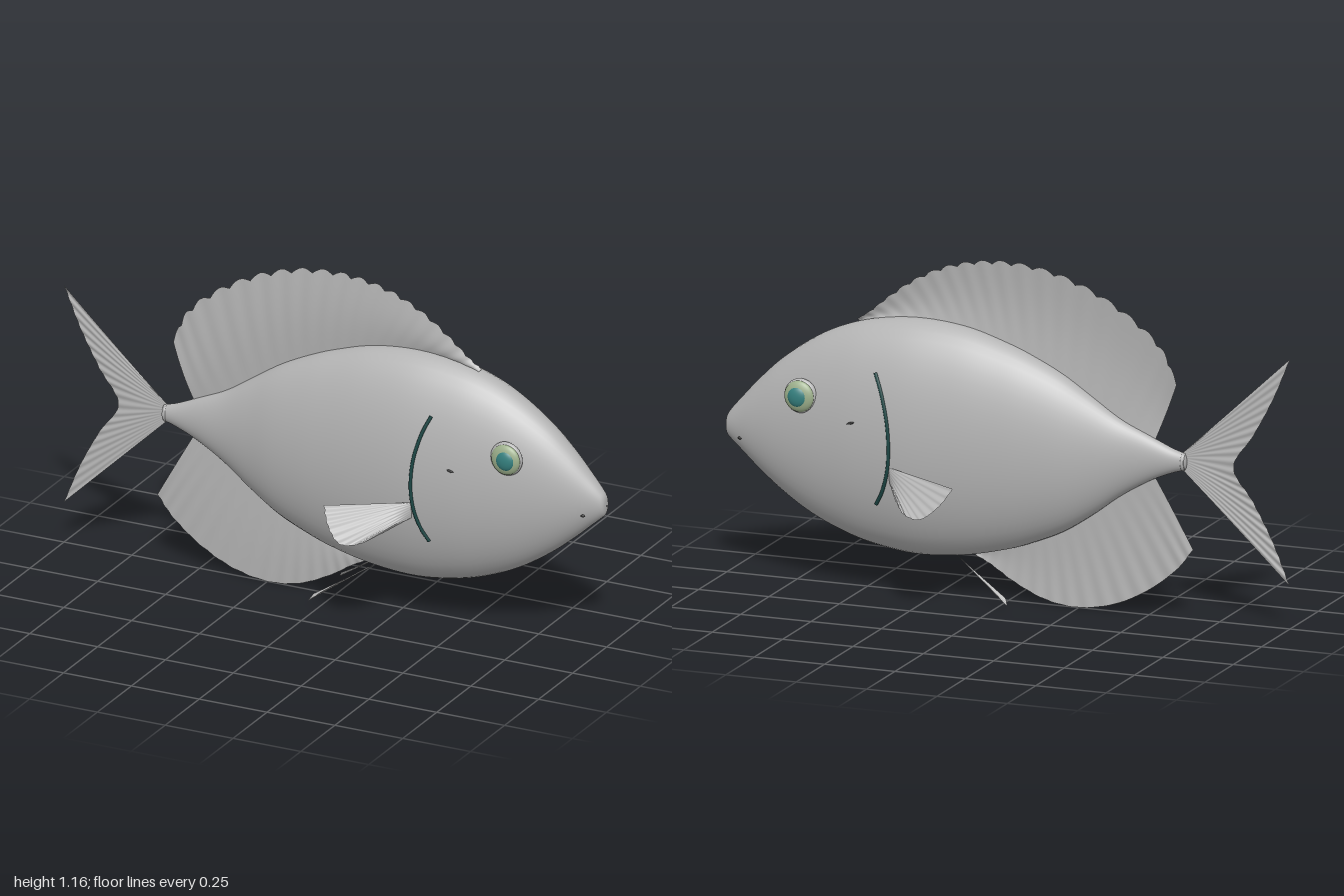
import * as THREE from 'three';

const V = (p) => new THREE.Vector3(p[0], p[1], p[2] ?? 0);
const mat = (name, color, side = THREE.FrontSide) => {
  const m = new THREE.MeshStandardMaterial({ color, side });
  m.name = name;
  return m;
};

// Body stations: x, top, bottom, half width
const STATIONS = [
  [-0.63, 0.56, 0.505, 0.02], [-0.58, 0.575, 0.49, 0.026], [-0.5, 0.61, 0.455, 0.036],
  [-0.4, 0.655, 0.395, 0.052], [-0.3, 0.72, 0.32, 0.077], [-0.2, 0.785, 0.255, 0.105],
  [-0.1, 0.835, 0.21, 0.125], [0, 0.875, 0.175, 0.14], [0.15, 0.918, 0.142, 0.157],
  [0.32, 0.932, 0.13, 0.167], [0.48, 0.913, 0.152, 0.158], [0.6, 0.875, 0.19, 0.141],
  [0.7, 0.822, 0.237, 0.122], [0.8, 0.75, 0.302, 0.098], [0.88, 0.674, 0.366, 0.073],
  [0.94, 0.608, 0.42, 0.05], [0.98, 0.562, 0.455, 0.032], [0.996, 0.537, 0.473, 0.02],
  [1, 0.505, 0.5, 0.001],
];
const spline = (pts) => new THREE.CatmullRomCurve3(pts.map(V), false, 'catmullrom', 0.5);
const heights = spline(STATIONS.map(([x, t, b]) => [x, t, b]));
const widths = spline(STATIONS.map(([x, , , w]) => [x, w]));
const ROWS = Array.from({ length: 109 }, (_, i) => {
  const a = heights.getPoint(i / 108), b = widths.getPoint(i / 108);
  return { x: Math.min(a.x, 1), top: a.y, bottom: a.z, half: b.y };
});

// Body measurements at any x
function section(x) {
  let i = 1;
  while (i < ROWS.length - 1 && ROWS[i].x < x) i++;
  const a = ROWS[i - 1], b = ROWS[i], k = (x - a.x) / (b.x - a.x);
  const mix = (key) => a[key] + (b[key] - a[key]) * k;
  return { top: mix('top'), bottom: mix('bottom'), half: mix('half') };
}

// Flank depth at a point seen from the side
function flank(x, y) {
  const s = section(x);
  const v = (y - (s.top + s.bottom) / 2) / ((s.top - s.bottom) / 2);
  return s.half * Math.sqrt(Math.max(0, 1 - v * v));
}

// Grid of points joined into a smooth surface
function surface(rows, cols, wrap, at) {
  const pos = [], idx = [];
  for (let i = 0; i < rows; i++) for (let j = 0; j < cols; j++) pos.push(...at(i, j));
  for (let i = 0; i < rows - 1; i++) {
    for (let j = 0; j < (wrap ? cols : cols - 1); j++) {
      const k = (j + 1) % cols;
      const a = i * cols + j, b = i * cols + k, c = a + cols, d = b + cols;
      idx.push(a, b, c, b, d, c);
    }
  }
  const g = new THREE.BufferGeometry();
  g.setAttribute('position', new THREE.Float32BufferAttribute(pos, 3));
  g.setIndex(idx);
  g.computeVertexNormals();
  return g;
}

function bodyGeometry() {
  return surface(ROWS.length, 48, true, (i, j) => {
    const r = ROWS[i], a = (j / 48) * Math.PI * 2;
    return [r.x, (r.top + r.bottom) / 2 + ((r.top - r.bottom) / 2) * Math.cos(a), r.half * Math.sin(a)];
  });
}

// Rayed membrane between a base line and an outer edge
function finGeometry(basePts, edgePts, { rays = 20, ripple = 0.002, scallop = 0, bend = 0, side = 1 } = {}) {
  const base = spline(basePts), edge = spline(edgePts), n = rays * 6;
  return surface(n + 1, 9, false, (i, j) => {
    const u = i / n, v = j / 8;
    const b = base.getPoint(u), e = edge.getPoint(u);
    const notch = 1 - scallop * (1 - Math.abs(Math.sin(u * rays * Math.PI)));
    const p = b.lerp(e, v * notch);
    const wave = ripple * Math.cos(u * rays * Math.PI * 2) * v + bend * Math.sin(v * Math.PI);
    return [p.x, p.y, (p.z + wave) * side];
  });
}

export function createModel() {
  const group = new THREE.Group();
  const skin = mat('skin grey', 0xb4b4b4);
  const finMat = mat('fin grey', 0xb4b4b4, THREE.DoubleSide);
  const gillMat = mat('gill dark teal', 0x1c4644);
  const irisMat = mat('iris green', 0x9db08c);
  const pupilMat = mat('pupil teal', 0x35807f);
  const nostrilMat = mat('nostril dark', 0x333333);

  const add = (name, geo, material) => {
    const m = new THREE.Mesh(geo, material);
    m.name = name;
    group.add(m);
    return m;
  };
  const ellipsoid = (name, material, p, s) => {
    const m = add(name, new THREE.SphereGeometry(1, 32, 20), material);
    m.position.set(...p);
    m.scale.set(...s);
    return m;
  };

  // Body with rounded tail stump
  add('body', bodyGeometry(), skin);
  ellipsoid('tailStump', skin, [-0.622, 0.532, 0], [0.012, 0.031, 0.023]);

  // Dorsal and anal fins follow the body outline
  const along = (from, to, key, inset) => Array.from({ length: 13 }, (_, i) => {
    const x = from + ((to - from) * i) / 12;
    return [x, section(x)[key] + inset];
  });
  add('dorsalFin', finGeometry(along(-0.52, 0.53, 'top', -0.008), [
    [-0.6, 0.8], [-0.54, 0.92], [-0.42, 1.02], [-0.28, 1.095], [-0.14, 1.14], [0, 1.155],
    [0.12, 1.145], [0.23, 1.115], [0.33, 1.065], [0.42, 1.0], [0.49, 0.94], [0.54, 0.905],
  ], { rays: 20, scallop: 0.05, bend: 0.009 }), finMat);
  add('analFin', finGeometry(along(-0.52, 0.12, 'bottom', 0.008), [
    [-0.655, 0.235], [-0.6, 0.165], [-0.5, 0.085], [-0.38, 0.025], [-0.25, 0.0],
    [-0.13, 0.016], [-0.02, 0.065], [0.06, 0.115], [0.12, 0.145],
  ], { rays: 16, bend: 0.003 }), finMat);

  // Forked tail fin
  add('tailFin', finGeometry([[-0.62, 0.563], [-0.62, 0.503]], [
    [-1, 0.918], [-0.94, 0.775], [-0.87, 0.645], [-0.8, 0.53], [-0.87, 0.418], [-0.94, 0.288], [-1, 0.143],
  ], { rays: 18, bend: 0.003 }), finMat);

  for (const [label, side] of [['left', -1], ['right', 1]]) {
    // Pectoral and pelvic fins
    add(label + 'PectoralFin', finGeometry([[0.37, 0.456, 0.155], [0.36, 0.4, 0.155]], [
      [0.09, 0.435, 0.265], [0.125, 0.38, 0.303], [0.18, 0.337, 0.33], [0.245, 0.342, 0.312], [0.3, 0.368, 0.25],
    ], { rays: 10, ripple: 0.0025, side }), finMat);
    add(label + 'PelvicFin', finGeometry([[0.17, 0.155, 0.048], [0.15, 0.15, 0.066]], [
      [-0.03, 0.035, 0.1], [-0.04, 0.015, 0.117], [0.0, 0.048, 0.112],
    ], { rays: 4, ripple: 0.001, side }), finMat);

    // Gill slit lying on the flank
    const gill = [[0.42, 0.765], [0.392, 0.7], [0.368, 0.61], [0.36, 0.52], [0.367, 0.44], [0.388, 0.37], [0.415, 0.32]];
    const path = spline(gill.map(([x, y]) => [x, y, side * flank(x, y)]));
    add(label + 'Gill', new THREE.TubeGeometry(path, 40, 0.006, 8), gillMat);

    // Eye: pale rim, green iris, teal pupil
    ellipsoid(label + 'EyeRim', skin, [0.69, 0.658, side * 0.117], [0.058, 0.059, 0.024]);
    ellipsoid(label + 'Iris', irisMat, [0.692, 0.658, side * 0.128], [0.052, 0.053, 0.02]);
    ellipsoid(label + 'Pupil', pupilMat, [0.695, 0.658, side * 0.138], [0.034, 0.035, 0.015]);

    // Nostril and small cheek mark
    ellipsoid(label + 'Nostril', nostrilMat, [0.935, 0.473, side * flank(0.935, 0.473)], [0.008, 0.005, 0.004]);
    const mark = ellipsoid(label + 'CheekMark', nostrilMat, [0.5, 0.591, side * flank(0.5, 0.591)], [0.014, 0.004, 0.003]);
    mark.rotation.z = -0.25;
  }
  return group;
}
